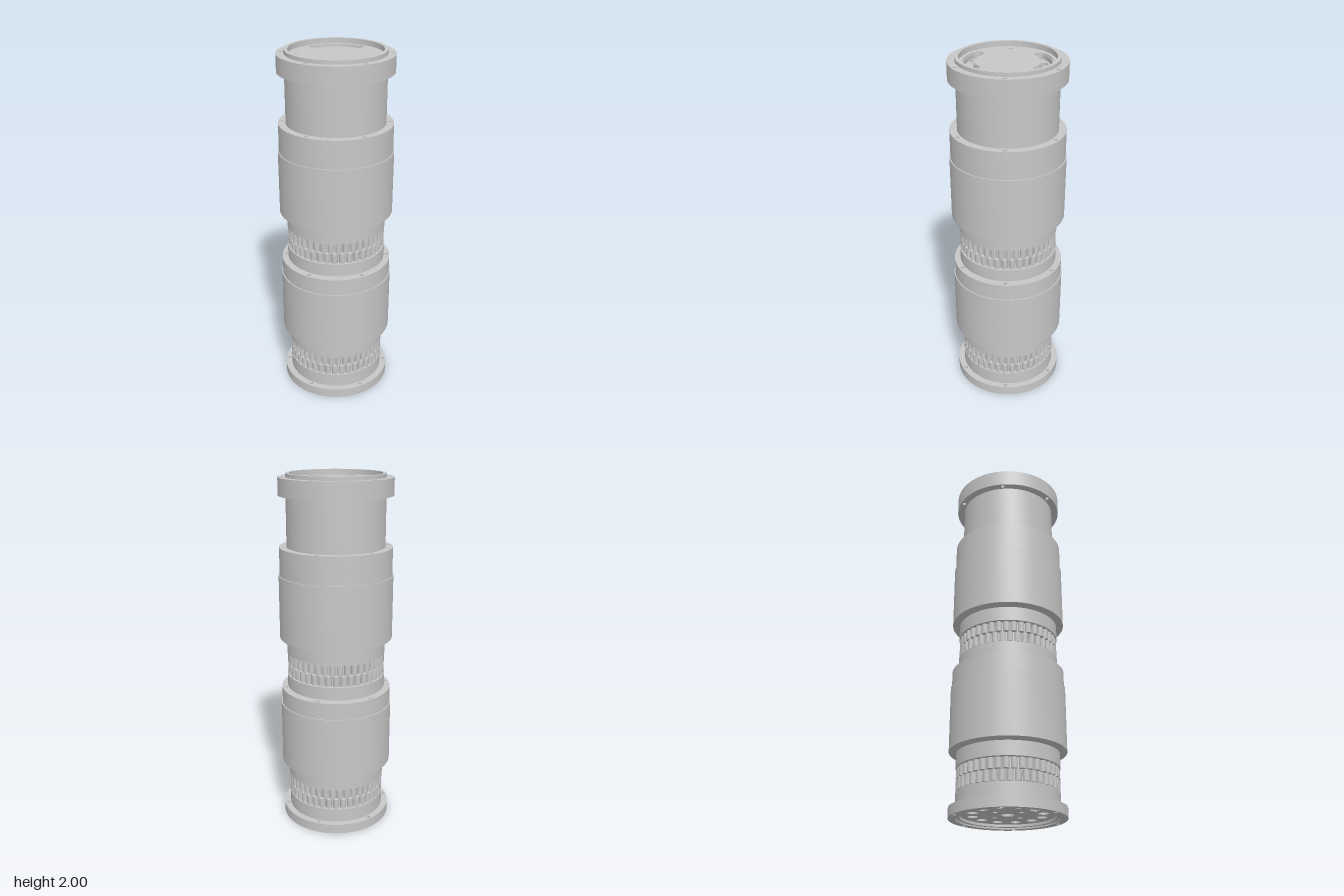
import * as THREE from 'three';
import { mergeGeometries, toCreasedNormals } from 'three/addons/utils/BufferGeometryUtils.js';

const TAU = Math.PI * 2;
const RAD = Math.PI / 180;

// points of an arc in plan (a = angle from +x towards -z)
function arc(cx, cy, r, a0, a1, n) {
  const pts = [];
  for (let i = 0; i <= n; i++) {
    const a = a0 + (a1 - a0) * i / n;
    pts.push(new THREE.Vector2(cx + r * Math.cos(a), cy + r * Math.sin(a)));
  }
  return pts;
}
const circle = (r, cx = 0, cy = 0, n = 96) => arc(cx, cy, r, 0, TAU * (n - 1) / n, n - 1);

// round holes spread evenly on a pitch circle
function holeRing(count, pitch, r, startDeg) {
  return Array.from({ length: count }, (_, i) => {
    const a = startDeg * RAD + i * TAU / count;
    return circle(r, pitch * Math.cos(a), pitch * Math.sin(a), 20);
  });
}

// kidney-shaped slot with round ends
function kidney(radius, half, deg0, deg1) {
  const a0 = deg0 * RAD, a1 = deg1 * RAD;
  const end = (a, s) => arc(radius * Math.cos(a), radius * Math.sin(a), half, s, s + Math.PI, 12).slice(1, -1);
  return [
    ...arc(0, 0, radius + half, a0, a1, 24), ...end(a1, a1),
    ...arc(0, 0, radius - half, a1, a0, 24), ...end(a0, a0 + Math.PI),
  ];
}

export function createModel() {
  const model = new THREE.Group();
  model.name = 'cylindricalCoupling';
  const metal = new THREE.MeshStandardMaterial({ color: 0xc7c7c7 });
  metal.name = 'light grey metal';

  const add = (name, geometry) => {
    const mesh = new THREE.Mesh(geometry, metal);
    mesh.name = name;
    model.add(mesh);
  };

  // round plate from y0 to y1 with optional holes through it
  const plate = (name, y0, y1, r, holes = []) => {
    const shape = new THREE.Shape(circle(r));
    holes.forEach(h => shape.holes.push(new THREE.Path(h)));
    const geo = new THREE.ExtrudeGeometry(shape, { depth: y1 - y0, bevelEnabled: false });
    geo.rotateX(-Math.PI / 2).translate(0, y0, 0);
    add(name, toCreasedNormals(geo, 0.6));
  };

  // ring of upright contact pins around a core
  const pinRow = (name, y0, y1, offset) => {
    const pins = [], count = 40;
    for (let i = 0; i < count; i++) {
      const a = (i + offset) * TAU / count;
      const pin = new THREE.CylinderGeometry(0.017, 0.017, y1 - y0, 10);
      pin.translate(0.258 * Math.cos(a), (y0 + y1) / 2, 0.258 * Math.sin(a));
      pins.push(pin);
    }
    add(name, mergeGeometries(pins));
  };

  const screws = () => holeRing(6, 0.292, 0.011, 51.7);

  // base flange with a recessed, drilled underside
  plate('baseFlange', 0, 0.055, 0.311, [circle(0.27), ...screws()]);
  plate('baseInnerRim', 0.008, 0.055, 0.27, [circle(0.25)]);
  plate('baseDrilledPlate', 0.022, 0.05, 0.25, [
    circle(0.035, 0, 0, 32),
    ...holeRing(12, 0.188, 0.029, 15),
    ...holeRing(4, 0.095, 0.013, 45),
  ]);
  plate('baseCollar', 0.05, 0.135, 0.275);

  // two matching stages: pin rows, collar, neck and outer sleeve
  const stages = [
    { name: 'lower', pins: 0.135, sleeve: 0.35, step: 0.71, top: 0.805 },
    { name: 'upper', pins: 0.885, sleeve: 1.10, step: 1.455, top: 1.61 },
  ];
  for (const s of stages) {
    plate(s.name + 'PinCore', s.pins, s.pins + 0.126, 0.25);
    pinRow(s.name + 'FirstPins', s.pins + 0.003, s.pins + 0.06, 0);
    pinRow(s.name + 'SecondPins', s.pins + 0.066, s.pins + 0.122, 0.5);
    plate(s.name + 'Collar', s.pins + 0.126, s.sleeve - 0.01, 0.278);
    plate(s.name + 'Neck', s.sleeve - 0.01, s.sleeve, 0.24);
    plate(s.name + 'Sleeve', s.sleeve, s.step, 0.317);
    plate(s.name + 'SleeveShoulder', s.step, s.top - 0.03, 0.311);
    plate(s.name + 'SleeveCap', s.top - 0.03, s.top, 0.311, screws());
  }

  // joint between the two stages
  plate('middleNeck', 0.805, 0.812, 0.24);
  plate('middleCollar', 0.812, 0.885, 0.278);

  // top barrel and flange
  plate('topBarrel', 1.61, 1.91, 0.27);
  plate('topFlange', 1.885, 1.98, 0.311, [circle(0.27), ...screws()]);

  // recessed top face: port layer, slot layer, wider slot lip, raised rim
  const ports = [[-0.03, 0.184], [0.107, 0.16], [0.03, -0.184], [-0.107, -0.16]];
  plate('topPortPlate', 1.91, 1.94, 0.27, ports.map(([x, y]) => circle(0.026, x, y, 28)));
  const slots = half => [kidney(0.199, half, 47, 117), kidney(0.199, half, 227, 297)];
  const locator = () => circle(0.011, -0.203, 0.032, 20);
  plate('topSlotPlate', 1.94, 1.965, 0.27, [...slots(0.025), locator()]);
  plate('topSlotLip', 1.965, 1.972, 0.27, [...slots(0.03), locator()]);
  plate('topRim', 1.972, 2.0, 0.27, [circle(0.25)]);

  return model;
}
